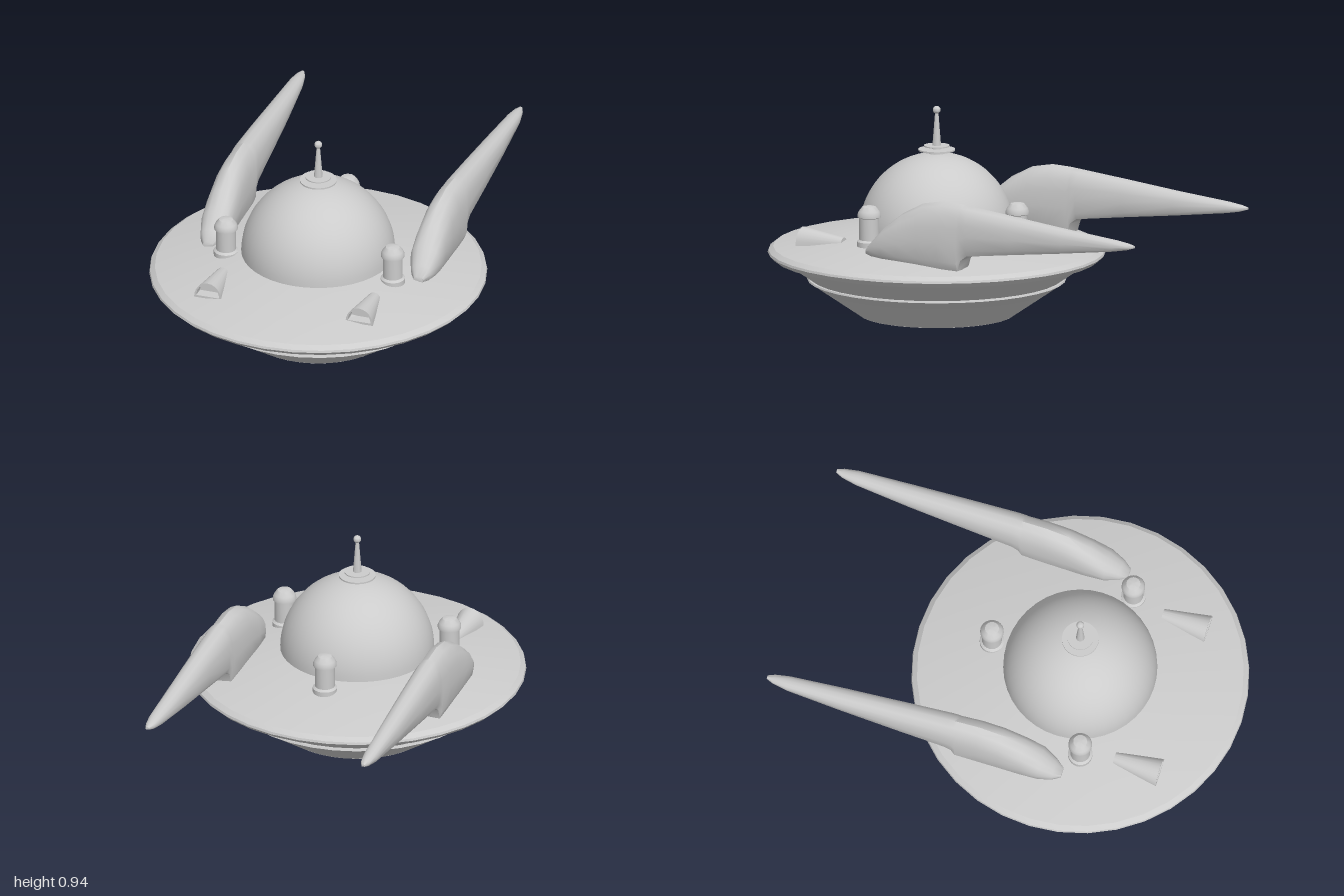
import * as THREE from 'three';
import { toCreasedNormals } from 'three/addons/utils/BufferGeometryUtils.js';

const material = new THREE.MeshStandardMaterial({ color: 0xcccccc, side: THREE.DoubleSide });

function addMesh(parent, name, geometry, crease = 0.5) {
  const mesh = new THREE.Mesh(toCreasedNormals(geometry, crease), material);
  mesh.name = name;
  parent.add(mesh);
  return mesh;
}

// Surface of revolution from [radius, height] pairs, bottom to top
function lathe(pairs, segments) {
  return new THREE.LatheGeometry(pairs.map(([r, y]) => new THREE.Vector2(r, y)), segments);
}

// Skin over equal-length rings of [x, y, z], counter-clockwise seen from +z, closed at both ends
function loft(rings) {
  const n = rings[0].length;
  const index = [];
  rings.slice(1).forEach((_, i) => {
    for (let j = 0; j < n; j++) {
      const a = i * n + j, b = i * n + (j + 1) % n;
      index.push(a, a + n, b, b, a + n, b + n);
    }
  });
  const last = (rings.length - 1) * n;
  for (let j = 1; j < n - 1; j++) {
    index.push(0, j, j + 1, last, last + j + 1, last + j);
  }
  const geometry = new THREE.BufferGeometry();
  geometry.setAttribute('position', new THREE.Float32BufferAttribute(rings.flat(2), 3));
  geometry.setIndex(index);
  return geometry;
}

// Swept arm: stations of [z, bottom, top, half width, centre x]
const armStations = [
  [0.335, 0.37, 0.395, 0.022, 0.48],
  [0.30, 0.365, 0.435, 0.045, 0.48],
  [0.24, 0.36, 0.50, 0.066, 0.477],
  [0.16, 0.355, 0.563, 0.07, 0.477],
  [0.06, 0.35, 0.615, 0.069, 0.478],
  [-0.04, 0.345, 0.634, 0.067, 0.479],
  [-0.135, 0.343, 0.63, 0.064, 0.481],
  [-0.15, 0.39, 0.628, 0.063, 0.481],
  [-0.18, 0.412, 0.625, 0.062, 0.482],
  [-0.4, 0.44, 0.602, 0.055, 0.486],
  [-0.65, 0.47, 0.574, 0.045, 0.49],
  [-0.9, 0.502, 0.549, 0.031, 0.495],
  [-0.965, 0.513, 0.54, 0.02, 0.496],
  [-0.995, 0.522, 0.533, 0.008, 0.497],
];
// Half of the arm's section, from bottom to top, as fractions of half width and height
const armSection = [[0.75, 0], [0.95, 0.12], [1, 0.4], [0.95, 0.65], [0.78, 0.82], [0.45, 0.95]];

function armGeometry() {
  const section = [
    ...armSection, [0, 1],
    ...armSection.map(([u, v]) => [-u, v]).reverse(),
  ];
  return loft(armStations.map(([z, low, high, half, x]) =>
    section.map(([u, v]) => [x + u * half, low + v * (high - low), z])));
}

// Half-round intake with a hollow front, tapering to the rear
function intakeGeometry() {
  const arch = (radius, height, y, z) => Array.from({ length: 13 }, (_, i) => {
    const a = i / 12 * Math.PI;
    return [radius * Math.cos(a), y + height * Math.sin(a), z];
  });
  return loft([
    arch(0.05, 0.055, 0.362, 0.69),
    arch(0.052, 0.057, 0.36, 0.735),
    arch(0.062, 0.075, 0.35, 0.735),
    arch(0.028, 0.03, 0.366, 0.53),
  ]);
}

// Underside plate pierced by a ring of wedge-shaped slots
function ventGeometry() {
  const shape = new THREE.Shape().absarc(0, 0, 0.335, 0, Math.PI * 2);
  const count = 18;
  for (let i = 0; i < count; i++) {
    const a = i / count * Math.PI * 2;
    const corners = [[0.11, -0.007], [0.29, -0.018], [0.29, 0.018], [0.11, 0.007]];
    shape.holes.push(new THREE.Path(corners.map(([r, t]) => new THREE.Vector2(
      r * Math.cos(a) - t * Math.sin(a), r * Math.sin(a) + t * Math.cos(a)))));
  }
  return new THREE.ExtrudeGeometry(shape, { depth: 0.018, bevelEnabled: false, curveSegments: 40 })
    .rotateX(Math.PI / 2).translate(0, 0.048, 0);
}

export function createModel() {
  const model = new THREE.Group();
  model.name = 'flyingSaucer';

  // Everything round shares the axis of the saucer
  const saucer = new THREE.Group();
  saucer.name = 'saucer';
  saucer.position.z = 0.265;
  model.add(saucer);

  addMesh(saucer, 'hull', lathe([
    [0.335, 0.03], [0.55, 0.178], [0.56, 0.183], [0.557, 0.19], [0.545, 0.19],
    [0.675, 0.28], [0.708, 0.281], [0.73, 0.302], [0.727, 0.312], [0.706, 0.328],
    [0.33, 0.402], [0, 0.402],
  ], 36), 0.35);
  addMesh(saucer, 'ventPlate', ventGeometry());
  addMesh(saucer, 'ventBacking', new THREE.CylinderGeometry(0.33, 0.33, 0.01, 36).translate(0, 0.053, 0));
  addMesh(saucer, 'bottomHub', lathe([[0, 0], [0.02, 0.001], [0.045, 0.012], [0.08, 0.031], [0, 0.031]], 24), 0.7);
  addMesh(saucer, 'dome',
    new THREE.SphereGeometry(0.333, 40, 20, 0, Math.PI * 2, 0, Math.PI / 2).translate(0, 0.402, 0));

  // Antenna with two thin discs and a ball
  const antenna = new THREE.Group();
  antenna.name = 'antenna';
  saucer.add(antenna);
  addMesh(antenna, 'mast', lathe([
    [0.035, 0.728], [0.033, 0.74], [0.02, 0.75], [0.018, 0.78], [0.007, 0.92], [0, 0.92],
  ], 16));
  addMesh(antenna, 'lowerDisc', new THREE.CylinderGeometry(0.08, 0.08, 0.007, 28).translate(0, 0.75, 0));
  addMesh(antenna, 'upperDisc', new THREE.CylinderGeometry(0.056, 0.056, 0.005, 28).translate(0, 0.767, 0));
  addMesh(antenna, 'antennaBall', new THREE.SphereGeometry(0.017, 16, 12).translate(0, 0.925, 0));

  // Three capped posts around the dome
  [[0.38, 0.12], [-0.38, 0.12], [0, -0.4]].forEach(([x, z]) => {
    addMesh(saucer, 'post', lathe([
      [0.053, 0.37], [0.053, 0.4], [0.043, 0.408], [0.043, 0.503], [0.051, 0.507],
      [0.051, 0.519], [0.045, 0.533], [0.03, 0.552], [0.015, 0.556], [0, 0.557],
    ], 24)).position.set(x, 0, z);
  });

  // Intakes on the front deck
  [1, -1].forEach(side => {
    addMesh(model, side > 0 ? 'leftIntake' : 'rightIntake', intakeGeometry()).position.x = side * 0.345;
  });

  // Mirrored arms sweeping back
  [1, -1].forEach(side => {
    addMesh(model, side > 0 ? 'leftArm' : 'rightArm', armGeometry(), 0.8).scale.x = side;
  });

  return model;
}
